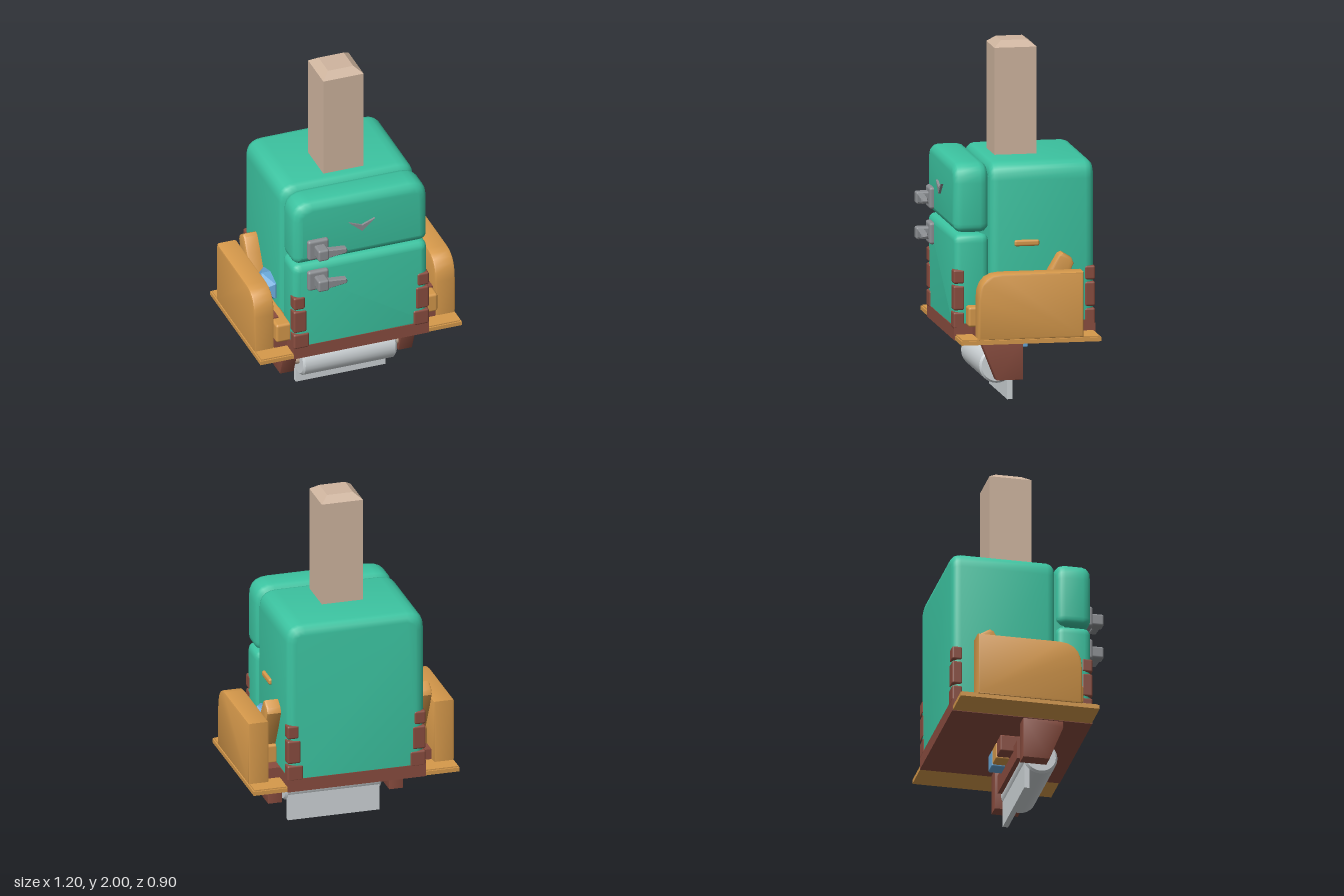
import * as THREE from 'three';
import { toCreasedNormals } from 'three/addons/utils/BufferGeometryUtils.js';
import { RoundedBoxGeometry } from 'three/addons/geometries/RoundedBoxGeometry.js';

const mat = (name, color) => Object.assign(new THREE.MeshStandardMaterial({ color }), { name });

export function createModel() {
  const green = mat('green enamel', 0x3cc4a1);
  const orange = mat('orange wood', 0xd6994b);
  const brown = mat('brown wood', 0x8a4d3f);
  const tan = mat('pale wood', 0xcfb59f);
  const grey = mat('grey metal', 0x8b8e92);
  const white = mat('white paper', 0xcfd5d8);
  const blue = mat('blue cloth', 0x68a6d6);
  const root = new THREE.Group();

  const add = (name, geo, material, x = 0, y = 0, z = 0, parent = root) => {
    const mesh = new THREE.Mesh(geo, material);
    mesh.name = name;
    mesh.position.set(x, y, z);
    parent.add(mesh);
    return mesh;
  };
  // box from its limits, optionally with rounded edges
  const box = (name, material, [x0, x1], [y0, y1], [z0, z1], r = 0, parent = root) => {
    const s = [x1 - x0, y1 - y0, z1 - z0];
    const geo = r ? new RoundedBoxGeometry(...s, 2, r) : new THREE.BoxGeometry(...s);
    return add(name, geo, material, (x0 + x1) / 2, (y0 + y1) / 2, (z0 + z1) / 2, parent);
  };
  // outline in x,y extruded in z, with its bevel kept inside the depth
  const extrude = (shape, z0, z1, bevel, segments = 3) => {
    const geo = new THREE.ExtrudeGeometry(shape, {
      depth: z1 - z0 - 2 * bevel, bevelEnabled: bevel > 0, bevelThickness: bevel,
      bevelSize: bevel, bevelOffset: -bevel, bevelSegments: segments, curveSegments: 5,
    });
    geo.translate(0, 0, z0 + bevel);
    return toCreasedNormals(geo, 0.7);
  };
  // upright slab with rounded top and bottom corners
  const slab = (w, y0, y1, z0, z1, top, bottom, bevel) => {
    const s = new THREE.Shape();
    s.moveTo(-w + bottom, y0).lineTo(w - bottom, y0);
    s.quadraticCurveTo(w, y0, w, y0 + bottom).lineTo(w, y1 - top);
    s.quadraticCurveTo(w, y1, w - top, y1).lineTo(-w + top, y1);
    s.quadraticCurveTo(-w, y1, -w, y1 - top).lineTo(-w, y0 + bottom);
    s.quadraticCurveTo(-w, y0, -w + bottom, y0);
    return extrude(s, z0, z1, bevel);
  };
  // profile in z,y extruded across x
  const sideProfile = (points, x0, x1, bevel) => {
    const shape = points instanceof THREE.Shape ? points
      : new THREE.Shape(points.map(p => new THREE.Vector2(...p)));
    return extrude(shape, -x1, -x0, bevel, 2).rotateY(-Math.PI / 2);
  };

  // cabinet and its two doors
  add('cabinet', slab(0.4, 0.4, 1.36, -0.445, 0.147, 0.1, 0.03, 0.05), green);
  add('upperDoor', slab(0.4, 0.97, 1.36, 0.153, 0.352, 0.11, 0.05, 0.05), green);
  add('lowerDoor', slab(0.4, 0.41, 0.963, 0.153, 0.35, 0.05, 0.02, 0.04), green);
  box('cabinetCore', green, [-0.36, 0.36], [0.42, 1.28], [0.1, 0.2]);

  // door handles
  for (const y of [1.068, 0.868]) {
    const handle = new THREE.Group();
    handle.name = 'doorHandle';
    box('handlePlate', grey, [-0.325, -0.2], [y - 0.062, y + 0.062], [0.34, 0.377], 0.015, handle);
    box('handleStub', grey, [-0.29, -0.225], [y - 0.035, y + 0.035], [0.36, 0.447], 0.012, handle);
    const lever = new THREE.Shape([[-0.28, -0.033], [-0.12, -0.014], [-0.113, 0],
      [-0.12, 0.018], [-0.28, 0.033]].map(p => new THREE.Vector2(...p)));
    add('handleLever', extrude(lever, 0.4, 0.44, 0.006, 1), grey, 0, y, 0, handle);
    root.add(handle);
  }
  const chevron = new THREE.Shape([[-0.077, 1.197], [0, 1.13], [0.077, 1.197], [0, 1.167]]
    .map(p => new THREE.Vector2(...p)));
  add('doorChevron', extrude(chevron, 0.34, 0.366, 0), grey);
  box('sideGrip', orange, [0.39, 0.416], [0.888, 0.924], [-0.13, 0.012], 0.012);

  // square post with a chamfered top
  const post = new THREE.BoxGeometry(0.24, 0.765, 0.24);
  add('post', post, tan, 0, 1.5825, -0.05);
  const cap = new THREE.CylinderGeometry(0.075 * Math.SQRT2, 0.12 * Math.SQRT2, 0.035, 4)
    .rotateY(Math.PI / 4).toNonIndexed();
  cap.computeVertexNormals();
  add('postCap', cap, tan, 0, 1.9825, -0.05);

  // base board and brown tray
  box('baseBoard', orange, [-0.6, 0.6], [0.37, 0.393], [-0.445, 0.35]);
  box('baseBoardTop', orange, [-0.592, 0.592], [0.39, 0.4], [-0.437, 0.342]);
  box('tray', brown, [-0.402, 0.402], [0.367, 0.442], [-0.448, 0.353]);

  for (const s of [-1, 1]) {
    const span = (a, b) => (s > 0 ? [a, b] : [-b, -a]);

    // segmented corner posts
    for (const [z0, z1] of [[0.293, 0.357], [-0.449, -0.388]]) {
      [[0.43, 0.525, 0.31], [0.535, 0.675, 0.325], [0.685, 0.765, 0.335]].forEach(([y0, y1, x]) =>
        box('cornerPost', brown, span(x, 0.404), [y0, y1], [z0, z1], 0.012));
    }
    // side panel under the cabinet
    box('sideRail', brown, span(0.36, 0.404), [0.4, 0.46], [-0.44, 0.34]);

    // outer armrest with a rounded front corner
    const arm = new THREE.Shape();
    arm.moveTo(-0.345, 0.395).lineTo(0.25, 0.395).lineTo(0.25, 0.62);
    arm.bezierCurveTo(0.25, 0.71, 0.21, 0.765, 0.12, 0.765);
    arm.lineTo(-0.345, 0.765).closePath();
    add('armrest', sideProfile(arm, ...span(0.48, 0.6), 0.012), orange);

    // seat, leaning backrest and cloth between armrest and cabinet
    box('seat', orange, span(0.39, 0.482), [0.45, 0.565], [-0.22, 0.287], 0.015);
    box('seatBase', brown, span(0.39, 0.48), [0.4, 0.46], [-0.3, 0.25]);
    box('seatPad', brown, span(0.44, 0.481), [0.55, 0.572], [0.03, 0.21]);
    const back = [[-0.04, 0.5], [-0.18, 0.765], [-0.228, 0.845], [-0.25, 0.855],
      [-0.3, 0.825], [-0.312, 0.795], [-0.27, 0.7], [-0.16, 0.48]];
    add('backrest', sideProfile(back, ...span(0.39, 0.482), 0.012), orange);
    const cloth = add('cloth', new THREE.IcosahedronGeometry(1, 0), blue, s * 0.405, 0.65, -0.025);
    cloth.scale.set(0.09, 0.09, 0.115);

    // roller bracket
    const leg = [[-0.04, 0.37], [-0.04, 0.13], [0.11, 0.13], [0.19, 0.33], [0.19, 0.37]];
    add('bracketLeg', sideProfile(leg, ...span(0.31, 0.395), 0.005), brown);
  }

  // beam, back plate and small blocks under the base
  box('bracketBeam', brown, [-0.36, 0.36], [0.325, 0.37], [0.02, 0.188]);
  box('bracketPlate', brown, [-0.24, 0.24], [0.19, 0.3], [-0.04, -0.01]);
  [[0.105, blue], [0, orange], [-0.105, brown]].forEach(([x, m]) =>
    box('block', m, [x - 0.046, x + 0.046], [0.27, 0.368], [-0.115, 0.01], 0.008));

  // paper roll on its axle, with a hanging sheet
  const rollProfile = [[0, -0.28], [0.088, -0.28], [0.1, -0.268], [0.1, 0.268], [0.088, 0.28], [0, 0.28]]
    .map(p => new THREE.Vector2(...p));
  add('paperRoll', toCreasedNormals(new THREE.LatheGeometry(rollProfile, 24).rotateZ(Math.PI / 2), 0.6),
    white, 0, 0.195, 0.085);
  add('axle', new THREE.CylinderGeometry(0.033, 0.033, 0.66, 12).rotateZ(Math.PI / 2), tan, 0, 0.195, 0.085);
  box('paperSheet', white, [-0.267, 0.267], [0, 0.2], [-0.005, 0.026]);

  return root;
}
